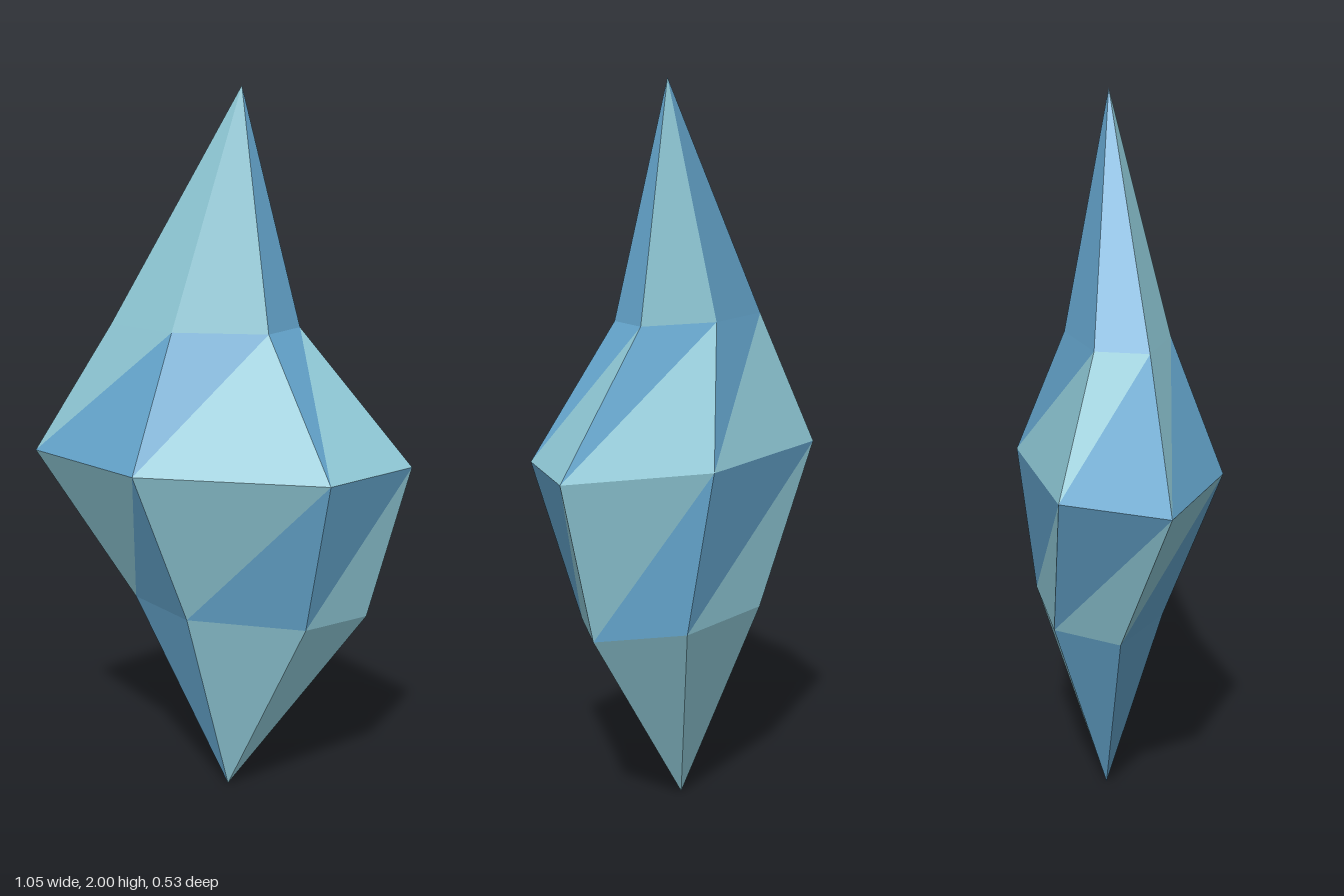
import * as THREE from 'three';

// Skewed hexagonal ring at height y, spanned by two corner offsets a and b
function ring(y, [cx, cz], a, b) {
  const c = [b[0] - a[0], b[1] - a[1]];
  const half = [a, b, c];
  const offsets = [...half, ...half.map(([x, z]) => [-x, -z])];
  return offsets.map(([x, z]) => [cx + x, y, cz + z]);
}

function facetMesh(name, triangles, material) {
  const geometry = new THREE.BufferGeometry();
  geometry.setAttribute('position', new THREE.Float32BufferAttribute(triangles.flat(2), 3));
  geometry.computeVertexNormals();
  const mesh = new THREE.Mesh(geometry, material);
  mesh.name = name;
  return mesh;
}

export function createModel() {
  const paleTeal = new THREE.MeshStandardMaterial({ color: 0x90cad8 });
  paleTeal.name = 'paleTeal';
  const skyBlue = new THREE.MeshStandardMaterial({ color: 0x66a8d0 });
  skyBlue.name = 'skyBlue';

  // Crystal cross-sections
  const top = [0.055, 2, -0.015];
  const upper = ring(1.36, [-0.045, -0.007], [-0.255, 0.047], [-0.05, 0.137]);
  const middle = ring(0.99, [0, 0], [-0.527, 0.06], [-0.163, 0.265]);
  const lower = ring(0.55, [0.073, -0.045], [-0.337, 0.015], [-0.133, 0.165]);
  const bottom = [0.015, 0, -0.03];

  // Each band: its triangle on side i, and one colour letter per side
  // (p = pale teal, b = sky blue)
  const bands = [
    ['topTip', 'ppbpbb', (i, j) => [upper[i], upper[j], top]],
    ['shoulderInner', 'pbbbbp', (i, j) => [middle[i], upper[j], upper[i]]],
    ['shoulderOuter', 'bppppb', (i, j) => [middle[i], middle[j], upper[j]]],
    ['bellyOuter', 'ppbpbb', (i, j) => [middle[i], lower[i], middle[j]]],
    ['bellyInner', 'bbpbpp', (i, j) => [middle[j], lower[i], lower[j]]],
    ['bottomTip', 'bppppb', (i, j) => [lower[i], bottom, lower[j]]],
  ];

  const crystal = new THREE.Group();
  crystal.name = 'crystal';
  for (const [name, colours, triangle] of bands) {
    const pale = [], blue = [];
    for (let i = 0; i < 6; i++) {
      (colours[i] === 'p' ? pale : blue).push(triangle(i, (i + 1) % 6));
    }
    crystal.add(facetMesh(name + 'PaleFacets', pale, paleTeal));
    crystal.add(facetMesh(name + 'BlueFacets', blue, skyBlue));
  }
  return crystal;
}
